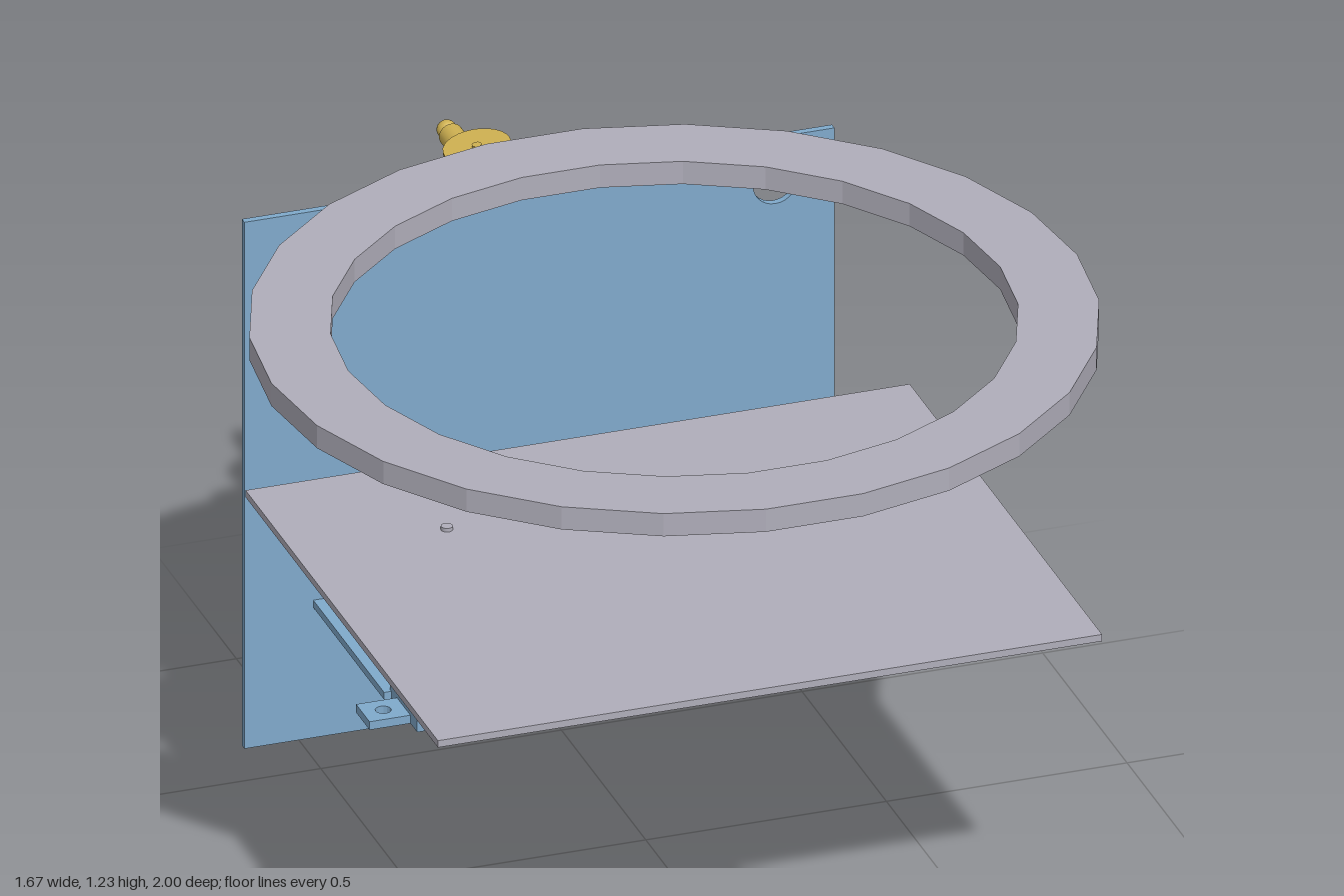
import * as THREE from 'three';

export function createModel() {
  const model = new THREE.Group();
  const mat = (name, color) => Object.assign(new THREE.MeshStandardMaterial({ color }), { name });
  const blue = mat('blue', 0x80aacc), gold = mat('gold', 0xd0b252), grey = mat('grey', 0xb0aeba);

  const add = (name, geo, material, x = 0, y = 0, z = 0, parent = model) => {
    const m = new THREE.Mesh(geo, material);
    m.name = name;
    m.position.set(x, y, z);
    parent.add(m);
    return m;
  };
  const box = (name, material, x0, x1, y0, y1, z0, z1, parent) =>
    add(name, new THREE.BoxGeometry(x1 - x0, y1 - y0, z1 - z0), material,
      (x0 + x1) / 2, (y0 + y1) / 2, (z0 + z1) / 2, parent);
  const rodZ = (name, material, r, x, y, z0, z1, parent) =>
    add(name, new THREE.CylinderGeometry(r, r, z1 - z0, 20).rotateX(Math.PI / 2), material, x, y, (z0 + z1) / 2, parent);
  const rodY = (name, material, r0, r1, x, z, y0, y1) =>
    add(name, new THREE.CylinderGeometry(r1, r0, y1 - y0, 20), material, x, (y0 + y1) / 2, z);
  const circle = (r, n, x = 0, y = 0) => Array.from({ length: n }, (_, i) => {
    const a = i / n * Math.PI * 2;
    return new THREE.Vector2(x + r * Math.cos(a), y + r * Math.sin(a));
  });
  const solid = (points, holes, depth) => {
    const s = new THREE.Shape(points);
    s.holes = holes.map(h => new THREE.Path(h));
    return new THREE.ExtrudeGeometry(s, { depth, bevelEnabled: false });
  };
  const rect = (x0, x1, y0, y1) => [[x0, y0], [x1, y0], [x1, y1], [x0, y1]].map(p => new THREE.Vector2(...p));
  const gear = (r, teeth, tooth, hole, depth) => {
    const pts = [];
    for (let i = 0; i < teeth; i++) {
      [[0, 0], [0.25, 1], [0.5, 1], [0.75, 0]].forEach(([f, up]) => {
        const a = (i + f) / teeth * Math.PI * 2, q = r - (up ? 0 : tooth);
        pts.push(new THREE.Vector2(q * Math.cos(a), q * Math.sin(a)));
      });
    }
    return solid(pts, hole ? [circle(hole, 28)] : [], depth);
  };

  // Faceted top ring and flat table
  add('topRing', solid(circle(0.837, 26), [circle(0.677, 26)], 0.05).rotateX(-Math.PI / 2), grey, 0, 1.18, 0.169);
  box('table', grey, -0.69, 0.69, 0.677, 0.692, -0.404, 0.736);

  // Back panel with four round holes
  const panelHoles = [[-0.49, 1.06], [0.49, 1.06], [0, 0.265], [0, 0.112]].map(([x, y]) => circle(0.046, 28, x, y));
  add('backPanel', solid(rect(-0.613, 0.613, 0, 1.16), panelHoles, 0.015), blue, 0, 0, -0.645);

  // Drive bracket: open box frame, drilled feet and a strip back to the panel
  const sx = -0.373, sy = 0.417, sz = -0.115;
  add('bracketFrame', solid(rect(-0.455, -0.29, 0.287, 0.51), [rect(-0.435, -0.31, 0.32, 0.487)], 0.16), blue, 0, 0, -0.217);
  [[-0.54, -0.455], [-0.29, -0.2]].forEach(([x0, x1]) => {
    const cx = (x0 + x1) / 2;
    add('bracketFoot', solid(rect(x0, x1, -0.04, 0.04), [circle(0.016, 16, cx, 0)], 0.018).rotateX(-Math.PI / 2),
      blue, 0, 0.287, -0.137);
  });
  box('bracketStrip', blue, -0.47, -0.275, 0.287, 0.303, -0.632, -0.21);

  // Shafts, couplings and bevel gears
  rodY('tableShaft', grey, 0.012, 0.012, sx, sz, 0.33, 0.7);
  rodY('lowerCoupling', gold, 0.029, 0.029, sx, sz, 0.512, 0.548);
  rodY('upperCoupling', gold, 0.029, 0.029, sx, sz, 0.552, 0.59);
  rodY('couplingCore', gold, 0.024, 0.024, sx, sz, 0.455, 0.56);
  add('couplingScrew', new THREE.CylinderGeometry(0.007, 0.007, 0.02, 10).rotateX(Math.PI / 2), gold, sx, 0.55, sz - 0.032);
  add('upperBevelGear', gear(0.045, 20, 0.009, 0, 0.016).rotateX(-Math.PI / 2), gold, sx, 0.447, sz);
  rodY('upperBevelCone', gold, 0.022, 0.036, sx, sz, 0.43, 0.447);
  add('rearBevelGear', gear(0.05, 22, 0.01, 0, 0.018), gold, sx, sy, -0.178);
  rodZ('driveShaft', grey, 0.011, sx, sy, -0.69, -0.16);
  rodZ('driveBoss', gold, 0.024, sx, sy, -0.66, -0.645);

  // Spur gears driving the wheel
  const cy = 0.615;
  add('driveGear', gear(0.212, 64, 0.012, 0, 0.017), gold, sx, sy, -0.676);
  add('wheelGear', gear(0.212, 64, 0.012, 0.075, 0.017), gold, 0, cy, -0.676);

  // Track ring on three supporting pins
  add('trackRing', solid(circle(0.56, 72), [circle(0.543, 72)], 0.018), gold, 0, cy, -0.704);
  [30, 150, 270].forEach(d => {
    const a = d * Math.PI / 180;
    rodZ('trackPin', blue, 0.014, 0.552 * Math.cos(a), cy + 0.552 * Math.sin(a), -0.692, -0.64);
  });

  // Wheel: rim, hub and seven spokes
  const wheel = new THREE.Group();
  wheel.name = 'wheel';
  wheel.position.y = cy;
  model.add(wheel);
  add('rim', solid(circle(0.517, 64), [circle(0.42, 64)], 0.022), gold, 0, 0, -0.709, wheel);
  add('hub', solid(circle(0.16, 48), [circle(0.075, 32)], 0.03), gold, 0, 0, -0.706, wheel);
  add('hubCollar', solid(circle(0.12, 40), [circle(0.075, 32)], 0.02), gold, 0, 0, -0.722, wheel);

  const start = -4.7 * Math.PI / 180, step = Math.PI * 2 / 7;
  for (let i = 0; i < 7; i++) {
    const spoke = new THREE.Group();
    spoke.name = 'spoke';
    spoke.rotation.z = start + (i + 0.5) * step;
    wheel.add(spoke);
    box('spokeBar', gold, 0.14, 0.44, -0.028, 0.028, -0.706, -0.69, spoke);
    box('spokeRib', gold, 0.14, 0.44, -0.01, 0.01, -0.715, -0.7, spoke);

    // Station: body, radial disc and axial handle with a ball tip
    const pod = new THREE.Group();
    pod.name = 'station';
    pod.rotation.z = start + i * step;
    wheel.add(pod);
    box('stationBody', gold, 0.46, 0.525, -0.06, 0.06, -0.8, -0.705, pod);
    [-1, 1].forEach(s => {
      const arm = box('stationArm', gold, 0.452, 0.508, -0.045, 0.045, -0.775, -0.705, pod);
      arm.position.y = s * 0.095;
      arm.rotation.z = s * 0.19;
    });
    add('stationDisc', new THREE.CylinderGeometry(0.068, 0.068, 0.036, 28).rotateZ(Math.PI / 2), gold, 0.54, 0, -0.775, pod);
    add('discBolt', new THREE.CylinderGeometry(0.01, 0.01, 0.006, 12).rotateZ(Math.PI / 2), gold, 0.559, 0, -0.775, pod);
    rodZ('handle', gold, 0.025, 0.493, 0, -0.955, -0.77, pod);
    rodZ('handleNeck', gold, 0.011, 0.493, 0, -0.975, -0.95, pod);
    add('handleBall', new THREE.SphereGeometry(0.02, 16, 12), gold, 0.493, 0, -0.98, pod);
  }
  return model;
}
